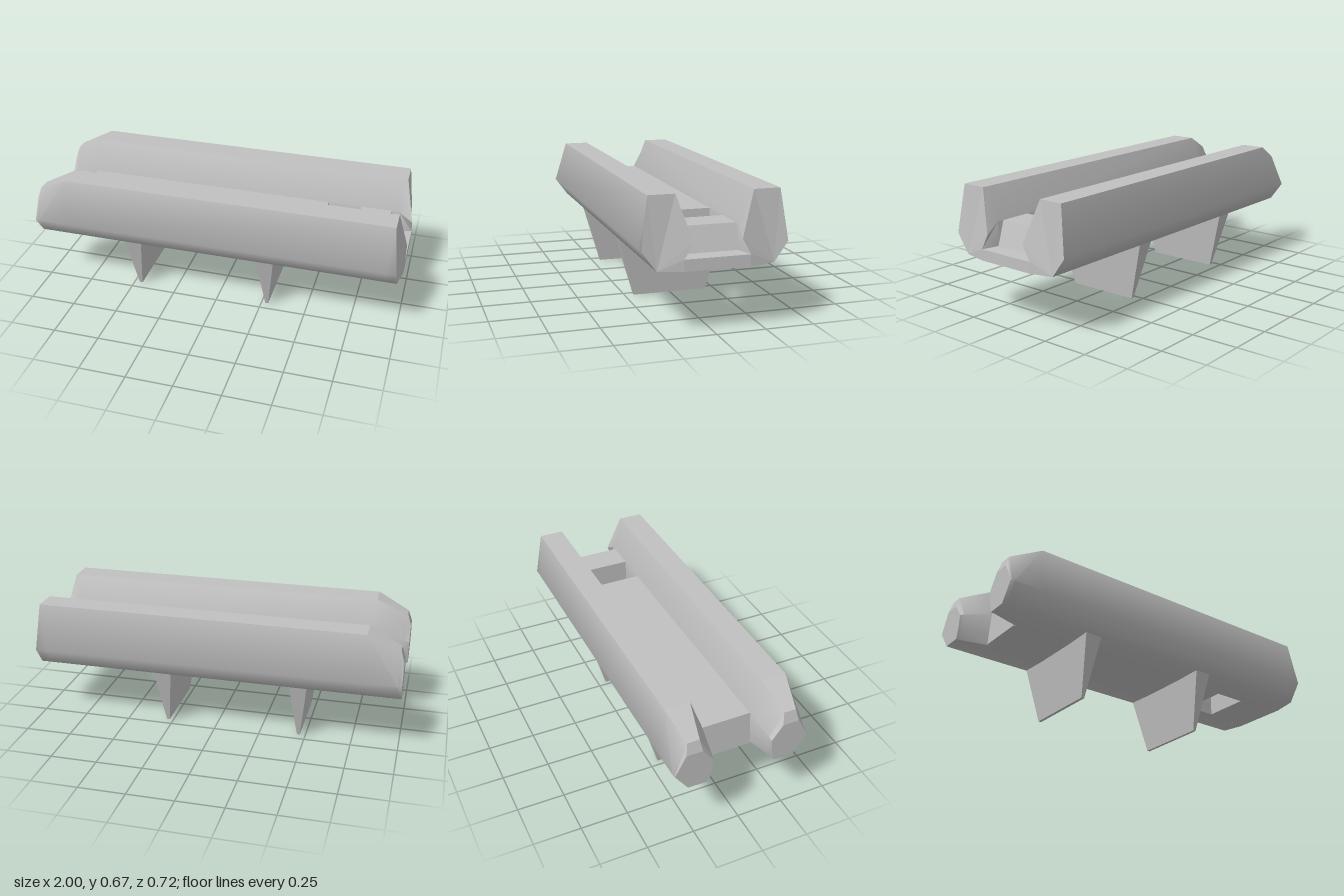
import * as THREE from 'three';
import { mergeGeometries, toCreasedNormals } from 'three/addons/utils/BufferGeometryUtils.js';

const grey = new THREE.MeshStandardMaterial({ color: 0xc0c0c0 });
grey.name = 'grey';

// Rail cross-section as [z, y]: top outer, top inner, inner lip, inner foot, bottom inner, bottom outer, widest
const MID = [[0.326, 0.673], [0.193, 0.673], [0.128, 0.505], [0.128, 0.377], [0.13, 0.317], [0.29, 0.322], [0.362, 0.42]];
const BACK = [[0.29, 0.59], [0.225, 0.59], [0.154, 0.46], [0.16, 0.378], [0.178, 0.32], [0.29, 0.322], [0.362, 0.42]];
const TAIL = [[0.3, 0.53], [0.215, 0.53], [0.158, 0.45], [0.165, 0.378], [0.18, 0.32], [0.288, 0.322], [0.359, 0.42]];
const FRONT = [[0.326, 0.673], [0.193, 0.673], [0.12, 0.455], [0.163, 0.375], [0.163, 0.317], [0.29, 0.322], [0.362, 0.42]];
const FRONT_X = [0.95, 0.95, 1, 1, 1, 0.98, 0.977];

function section(profile, x) {
  return profile.map(([z, y], i) => [Array.isArray(x) ? x[i] : x, y, z]);
}

function soup(triangles, side) {
  const out = [];
  for (const [a, b, c] of triangles) {
    const order = side > 0 ? [a, b, c] : [a, c, b];
    for (const p of order) out.push(p[0], p[1], p[2] * side);
  }
  const g = new THREE.BufferGeometry();
  g.setAttribute('position', new THREE.Float32BufferAttribute(out, 3));
  g.computeVertexNormals();
  return g;
}

// One side rail, lofted through its sections; the outside and inside walls are smooth
function railGeometry(side) {
  const s = [section(TAIL, -1), section(BACK, -0.98), section(MID, -0.81),
    section(MID, 0.92), section(FRONT, FRONT_X)];
  const strips = (edges) => {
    const t = [];
    for (let i = 0; i < s.length - 1; i++) {
      for (const e of edges) {
        const f = (e + 1) % 7;
        const a = s[i][e], b = s[i][f], c = s[i + 1][f], d = s[i + 1][e];
        t.push([a, d, c], [a, c, b]);
      }
    }
    return t;
  };
  const caps = [];
  const tail = s[0], front = s[s.length - 1];
  for (let j = 0; j < 5; j++) {
    const k = (6 + j) % 7, n = (k + 1) % 7;
    caps.push([front[5], front[n], front[k]], [tail[5], tail[k], tail[n]]);
  }
  const crease = THREE.MathUtils.degToRad(60);
  return mergeGeometries([
    toCreasedNormals(soup(strips([4, 5, 6]), side), crease),
    toCreasedNormals(soup(strips([1, 2, 3]), side), THREE.MathUtils.degToRad(35)),
    soup(strips([0]), side),
    soup(caps, side),
  ]);
}

// Floor pieces: side profile in x and y, extruded across the width
function slab(points, halfWidth) {
  const shape = new THREE.Shape(points.map(([x, y]) => new THREE.Vector2(x, y)));
  const g = new THREE.ExtrudeGeometry(shape, { depth: halfWidth * 2, bevelEnabled: false });
  return g.translate(0, 0, -halfWidth);
}

// Tapered foot: a box narrowed toward the ground
function footGeometry() {
  const g = new THREE.BoxGeometry(1, 0.322, 1).toNonIndexed().translate(0, 0.161, 0);
  const p = g.attributes.position;
  for (let i = 0; i < p.count; i++) {
    const low = p.getY(i) < 0.1;
    p.setX(i, p.getX(i) * (low ? 0.016 : 0.094));
    p.setZ(i, p.getZ(i) * (low ? 0.404 : 0.578));
  }
  g.computeVertexNormals();
  return g;
}

export function createModel() {
  const model = new THREE.Group();
  model.name = 'railBase';
  const add = (name, geometry, x = 0) => {
    const mesh = new THREE.Mesh(geometry, grey);
    mesh.name = name;
    mesh.position.x = x;
    model.add(mesh);
  };

  add('leftSideRail', railGeometry(1));
  add('rightSideRail', railGeometry(-1));

  // Channel floor on both sides of the square opening, and the low lip at the end
  add('mainFloor', slab([[-0.845, 0.317], [0.54, 0.317], [0.54, 0.505], [-0.83, 0.505]], 0.132));
  add('endFloor', slab([[0.72, 0.317], [0.93, 0.317], [0.925, 0.376], [0.885, 0.505], [0.72, 0.505]], 0.132));
  add('endLip', slab([[0.92, 0.317], [1, 0.317], [1, 0.375], [0.92, 0.38]], 0.163));

  // Feet
  for (const [name, x] of [['rearFoot', -0.4625], ['frontFoot', 0.28]]) add(name, footGeometry(), x);

  return model;
}
